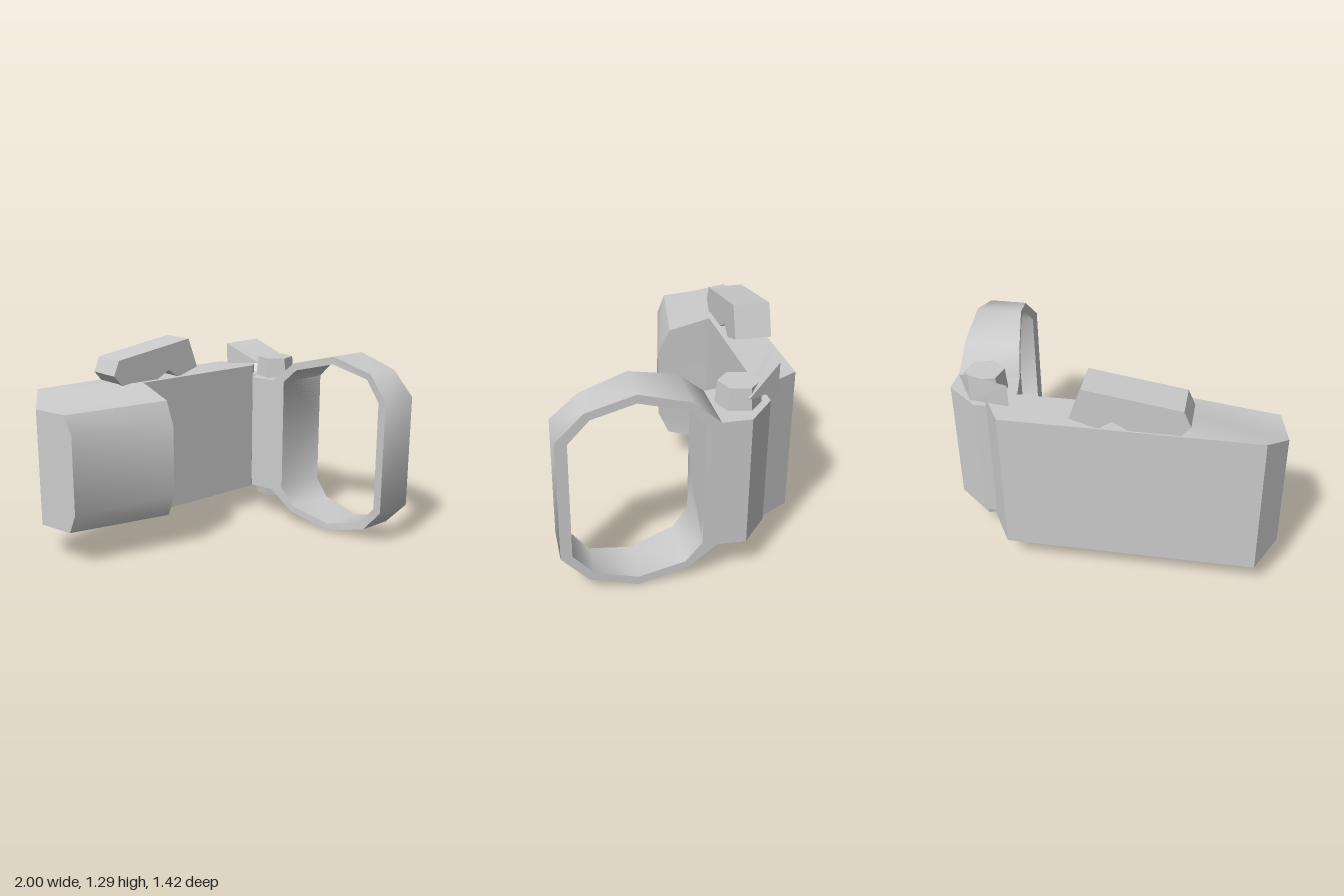
import * as THREE from 'three';
import { toCreasedNormals } from 'three/addons/utils/BufferGeometryUtils.js';
import { ConvexGeometry } from 'three/addons/geometries/ConvexGeometry.js';

const material = new THREE.MeshStandardMaterial({ color: 0xcccccc });
const v2 = (pts, sx = 1, sy = 1) => pts.map(([a, b]) => new THREE.Vector2(a * sx, b * sy));
const extrude = (shape, depth) =>
  new THREE.ExtrudeGeometry(shape, { depth, bevelEnabled: false });

// Upright prism from an [x, z] outline
function prism(pts, y0, y1) {
  return extrude(new THREE.Shape(v2(pts, 1, -1)), y1 - y0)
    .rotateX(-Math.PI / 2).translate(0, y0, 0);
}

// Piecewise linear lookup in a list of [t, value]
function lookup(table, t) {
  let i = 0;
  while (i < table.length - 2 && t > table[i + 1][0]) i++;
  const [a, b] = [table[i], table[i + 1]];
  return THREE.MathUtils.mapLinear(t, a[0], b[0], a[1], b[1]);
}

// Chamfered grip block lofted between two matching eight-point sections
function gripGeometry() {
  const mid = 0.605;
  const mirrored = (half) =>
    [...half, ...half.map(([x, y, z]) => [x, 2 * mid - y, z]).reverse()];
  const inner = mirrored([[-0.27, 0.16, -0.71], [-0.27, 0.16, -0.44], [-0.285, 0.23, -0.18], [-0.29, 0.38, -0.11]]);
  const outer = mirrored([[-0.88, 0.16, -0.71], [-1, 0.24, -0.53], [-0.95, 0.24, -0.29], [-0.94, 0.36, -0.24]]);
  const index = [];
  for (let i = 0; i < 8; i++) {
    const j = (i + 1) % 8;
    index.push(i, j, 8 + j, i, 8 + j, 8 + i);
  }
  for (let k = 1; k < 7; k++) index.push(0, k + 1, k);
  for (let k = 0; k < 3; k++) {
    index.push(8 + k, 9 + k, 14 - k, 8 + k, 14 - k, 15 - k);
  }
  const geometry = new THREE.BufferGeometry();
  geometry.setAttribute('position', new THREE.Float32BufferAttribute([...inner, ...outer].flat(), 3));
  geometry.setIndex(index);
  return toCreasedNormals(geometry, 0.75);
}

// Loop drawn in [z, y], with its inner side following a slanted line in x
function loopGeometry() {
  const shape = new THREE.Shape(v2([
    [0.28, 1.2], [0.555, 1.12], [0.71, 0.965], [0.71, 0.24], [0.555, 0.08], [0.28, 0.003],
    [-0.01, 0.08], [-0.17, 0.21], [-0.17, 0.99], [-0.01, 1.125]], -1));
  shape.holes.push(new THREE.Path(v2([
    [0.28, 1.15], [0.525, 1.08], [0.645, 0.95], [0.645, 0.25], [0.525, 0.12], [0.28, 0.055],
    [0.01, 0.12], [-0.085, 0.235], [-0.085, 0.99], [0.01, 1.08]], -1)));
  const geometry = extrude(shape, 1).rotateY(Math.PI / 2);
  const side = [[-0.34, 0.59], [-0.08, 0.64], [0.525, 0.77], [0.71, 0.735]];
  const pos = geometry.attributes.position;
  for (let i = 0; i < pos.count; i++) {
    pos.setX(i, pos.getX(i) > 0.5 ? 1 : lookup(side, pos.getZ(i)));
  }
  return toCreasedNormals(geometry, 0.9);
}

export function createModel() {
  const group = new THREE.Group();
  const add = (name, geometry) => {
    const mesh = new THREE.Mesh(geometry, material);
    mesh.name = name;
    group.add(mesh);
    return mesh;
  };

  add('gripBlock', gripGeometry());

  // Back plate with a slanted hinge end
  add('backPlate', prism(
    [[-0.28, -0.71], [0.61, -0.71], [0.74, -0.49], [0.68, -0.44], [-0.28, -0.44]], 0.16, 1.05));

  // Hinge leaf joining the plate to the loop
  add('hingeLeaf', prism(
    [[0.69, -0.5], [0.81, -0.5], [1, -0.34], [1, -0.085], [0.638, -0.085], [0.59, -0.34], [0.68, -0.4]], 0.21, 0.99));

  add('loop', loopGeometry());

  // Six-sided hinge pins above and below
  for (const [name, r0, r1, y0, y1] of [
    ['upperHingePin', 0.118, 0.13, 0.98, 1.12], ['lowerHingePin', 0.13, 0.118, 0.125, 0.22]]) {
    const pin = add(name, toCreasedNormals(
      new THREE.CylinderGeometry(r0, r1, y1 - y0, 6).rotateY(-0.2), 0.5));
    pin.position.set(0.785, (y0 + y1) / 2, -0.32);
  }

  // Wedge-shaped thumb tab behind the upper pin
  add('thumbTab', new ConvexGeometry([
    [0.57, 1.2, -0.59], [0.81, 1.215, -0.54], [0.57, 1.06, -0.585],
    [0.81, 1.05, -0.54], [0.94, 1.075, -0.33], [0.7, 1.07, -0.4],
  ].map((p) => new THREE.Vector3(...p))));

  // Tilted latch on the top edge
  const latch = new THREE.Shape(v2([
    [-0.47, 1.11], [-0.41, 1.04], [-0.13, 1.05], [-0.04, 1.1],
    [0.04, 1.045], [0.2, 1.095], [0.13, 1.29], [-0.43, 1.205]]));
  add('latch', extrude(latch, 0.225).translate(0, 0, -0.7));

  return group;
}
